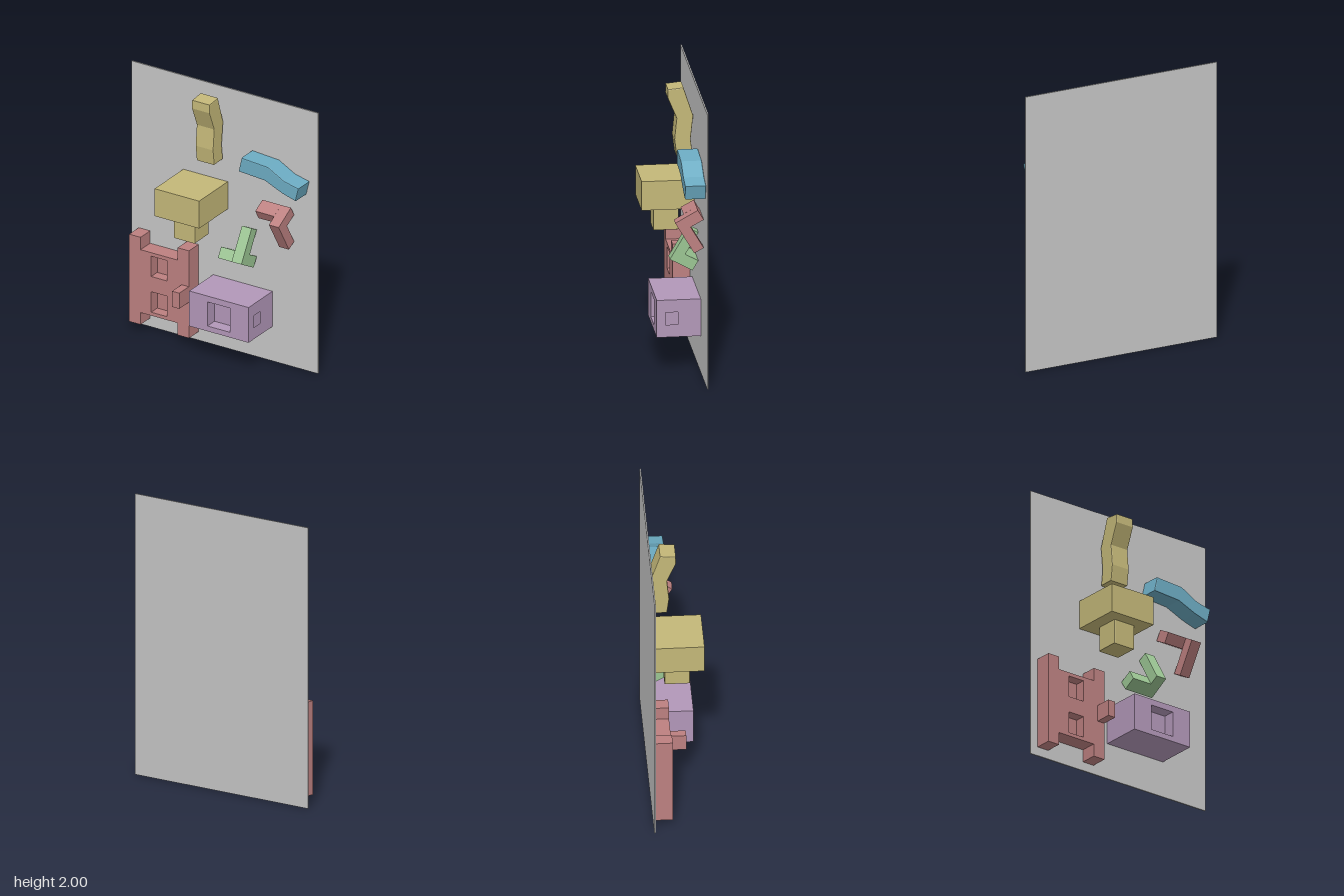
import * as THREE from 'three';

const material = (name, color) => {
  const m = new THREE.MeshStandardMaterial({ color });
  m.name = name;
  return m;
};

// Corners of a rectangle from its limits
const rect = (a0, a1, b0, b1) => [[a0, b0], [a1, b0], [a1, b1], [a0, b1]];
const toVectors = (points) => points.map(([a, b]) => new THREE.Vector2(a, b));

// Prism with an [x, y] outline running along z
function prismZ(points, z0, z1, holes = [], bevel = 0) {
  const shape = new THREE.Shape(toVectors(points));
  for (const hole of holes) shape.holes.push(new THREE.Path(toVectors(hole)));
  const geometry = new THREE.ExtrudeGeometry(shape, {
    depth: z1 - z0 - 2 * bevel,
    bevelEnabled: bevel > 0,
    bevelSize: bevel,
    bevelOffset: -bevel,
    bevelThickness: bevel,
    bevelSegments: 2,
  });
  return geometry.translate(0, 0, z0 + bevel);
}

// Prism with a [z, y] outline running along x
function prismX(points, x0, x1, holes = [], bevel = 0) {
  const flip = (list) => list.map(([z, y]) => [-z, y]);
  return prismZ(flip(points), x0, x1, holes.map(flip), bevel).rotateY(Math.PI / 2);
}

function box(x0, x1, y0, y1, z0, z1) {
  return new THREE.BoxGeometry(x1 - x0, y1 - y0, z1 - z0)
    .translate((x0 + x1) / 2, (y0 + y1) / 2, (z0 + z1) / 2);
}

export function createModel() {
  const root = new THREE.Group();
  root.name = 'partsBoard';

  const grey = material('board grey', 0xc6c6c6);
  const yellow = material('sand yellow', 0xc3b778);
  const red = material('dusty red', 0xbc8080);
  const green = material('soft green', 0x9ac492);
  const blue = material('soft blue', 0x6cabc2);
  const purple = material('soft purple', 0xb297b8);

  const group = (name) => {
    const g = new THREE.Group();
    g.name = name;
    root.add(g);
    return g;
  };
  const add = (parent, name, geometry, mat) => {
    const mesh = new THREE.Mesh(geometry, mat);
    mesh.name = name;
    parent.add(mesh);
  };

  const back = -0.179; // front surface of the board

  add(root, 'backBoard', box(-0.765, 0.765, 0, 2, -0.189, back), grey);

  // Red H-shaped body with two pockets and a side peg
  const body = group('bodyFrame');
  const [l, r, b, t] = [-0.705, -0.215, 0.065, 0.735];
  const [il, ir, ib, it] = [-0.612, -0.308, 0.157, 0.64];
  const outline = [
    [l, b], [il, b], [il, ib], [ir, ib], [ir, b], [r, b],
    [r, t], [ir, t], [ir, it], [il, it], [il, t], [l, t],
  ];
  const pockets = [rect(-0.525, -0.397, 0.183, 0.34), rect(-0.525, -0.397, 0.457, 0.613)];
  add(body, 'bodyBack', prismZ(outline, back, -0.135), red);
  add(body, 'bodyFront', prismZ(outline, -0.135, -0.057, pockets), red);
  add(body, 'bodyPeg', box(-0.275, -0.216, 0.34, 0.46, -0.06, 0.065), red);

  // Purple block with a front pocket and a side socket
  const block = group('socketBlock');
  const [y0, y1, front, splitX, pocketZ] = [0.265, 0.535, 0.127, 0.31, 0.037];
  add(block, 'blockBack', box(-0.095, splitX, y0, y1, back, pocketZ), purple);
  add(block, 'blockFront', prismZ(rect(-0.095, splitX, y0, y1), pocketZ, front,
    [rect(0.055, 0.24, 0.305, 0.49)]), purple);
  add(block, 'blockSide', prismX(rect(back, front, y0, y1), splitX, 0.392,
    [rect(-0.022, 0.065, 0.355, 0.445)]), purple);

  // Yellow head on a neck
  const head = group('head');
  add(head, 'headBlock', box(-0.34, 0.025, 1.07, 1.28, back, 0.187), yellow);
  add(head, 'neck', prismX(rect(-0.083, 0.093, 0.89, 1.08), -0.243, -0.07, [], 0.006), yellow);

  // Bent limbs: one upright, one lying across
  add(root, 'uprightLimb', prismX([
    [-0.06, 1.447], [-0.045, 1.565], [-0.06, 1.72], [0.002, 1.87], [0.0, 1.932],
    [-0.108, 1.942], [-0.176, 1.735], [-0.158, 1.565], [-0.172, 1.447],
  ], -0.155, -0.009, [], 0.007), yellow);
  add(root, 'lyingLimb', prismZ([
    [0.205, 1.465], [0.42, 1.45], [0.56, 1.39], [0.672, 1.357],
    [0.697, 1.46], [0.58, 1.487], [0.447, 1.56], [0.23, 1.575],
  ], back, -0.034, [], 0.007), blue);

  // Two matching hooks, one the upside-down copy of the other
  const elbow = [
    [-0.137, 1.24], [-0.178, 1.17], [-0.087, 1.12],
    [-0.178, 0.965], [-0.112, 0.929], [0.02, 1.152],
  ];
  const bar = [[-0.137, 1.24], [-0.178, 1.17], [-0.087, 1.12], [-0.046, 1.19]];
  const hooks = [
    ['upperHook', red, 0, (y) => y],
    ['lowerHook', green, -0.306, (y) => 1.94 - y],
  ];
  for (const [name, mat, dx, mapY] of hooks) {
    const place = (points) => points.map(([z, y]) => [z, mapY(y)]);
    const hook = group(name);
    add(hook, name + 'Elbow', prismX(place(elbow), 0.49 + dx, 0.57 + dx), mat);
    add(hook, name + 'Bar', prismX(place(bar), 0.336 + dx, 0.49 + dx), mat);
  }

  return root;
}
